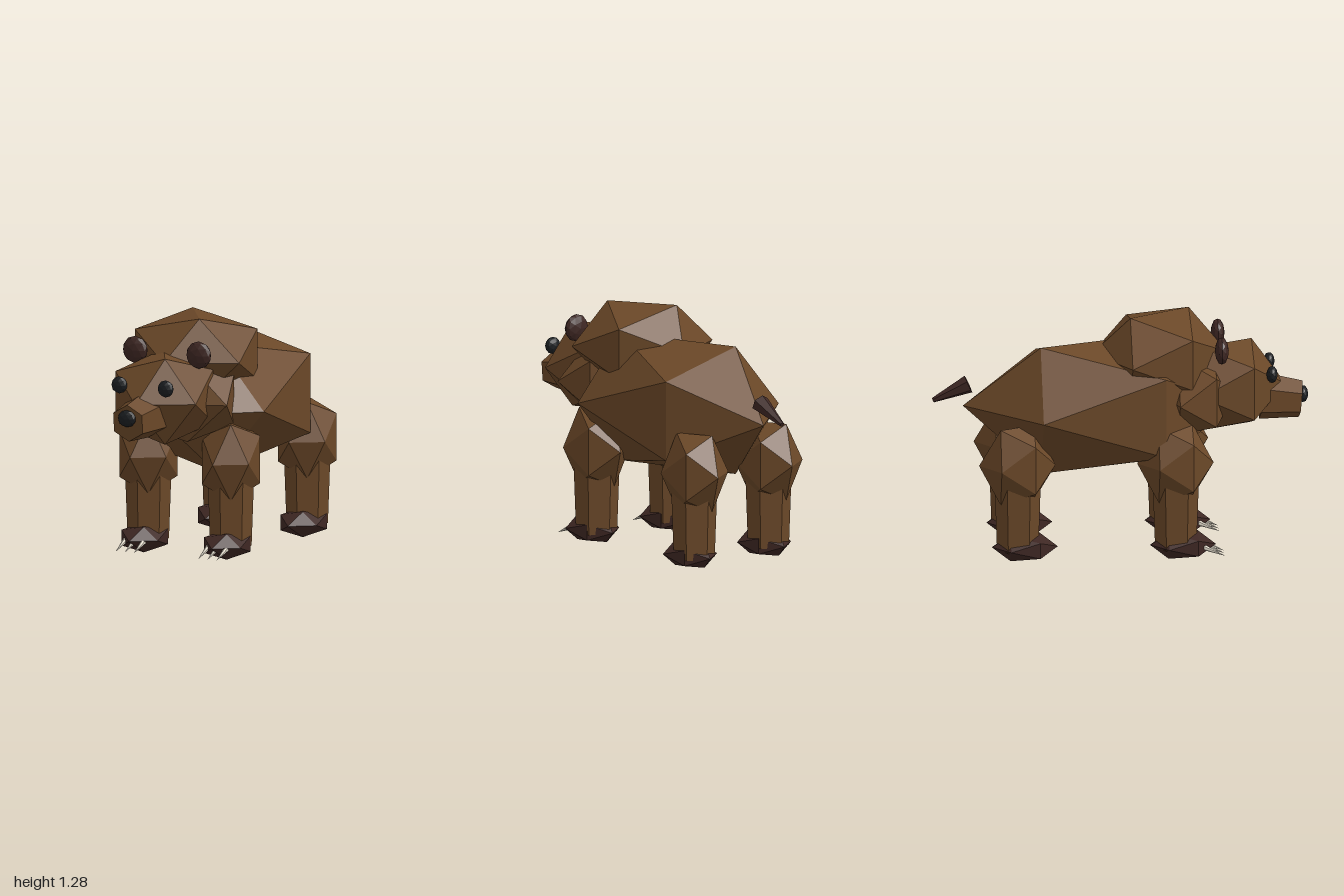
import * as THREE from 'three';

const mat = (name, color) => {
  const m = new THREE.MeshStandardMaterial({ color, flatShading: true });
  m.name = name;
  return m;
};

export function createModel() {
  const fur = mat('brown fur', 0x6b4828);
  const dark = mat('dark brown', 0x3e2723);
  const black = mat('black', 0x1b1e21);
  const ivory = mat('ivory', 0xe0d8c8);
  const bear = new THREE.Group();
  bear.name = 'bear';

  // Faceted ball with a corner pointing to +z and a five-sided ring starting at +x
  const ball = (name, material, pos, size, detail = 0) => {
    const g = new THREE.IcosahedronGeometry(1, detail);
    g.rotateX(Math.atan(2 / (1 + Math.sqrt(5)))).rotateZ(Math.PI / 2);
    g.scale(...size);
    const mesh = new THREE.Mesh(g, material);
    mesh.name = name;
    mesh.position.set(...pos);
    bear.add(mesh);
  };

  // Tapered prism running between two points
  const taper = (name, material, from, to, r0, r1, sides) => {
    const a = new THREE.Vector3(...from), b = new THREE.Vector3(...to);
    const dir = b.clone().sub(a);
    const mesh = new THREE.Mesh(new THREE.CylinderGeometry(r1, r0, dir.length(), sides), material);
    mesh.name = name;
    mesh.position.copy(a).add(b).multiplyScalar(0.5);
    mesh.quaternion.setFromUnitVectors(new THREE.Vector3(0, 1, 0), dir.normalize());
    bear.add(mesh);
  };

  // Trunk
  ball('body', fur, [0, 0.785, -0.1], [0.47, 0.406, 0.735]);
  ball('shoulderHump', fur, [0, 1.06, 0.21], [0.39, 0.258, 0.36]);
  ball('neck', fur, [0, 0.85, 0.4], [0.385, 0.25, 0.22]);
  taper('tail', dark, [0, 0.903, -0.805], [0, 0.817, -0.994], 0.05, 0.013, 6);

  // Head
  ball('head', fur, [0, 0.88, 0.56], [0.3, 0.27, 0.32]);
  taper('muzzle', fur, [0, 0.815, 0.75], [0, 0.795, 0.96], 0.128, 0.1, 6);
  ball('nose', black, [0, 0.822, 0.972], [0.053, 0.046, 0.028], 1);

  for (const side of [-1, 1]) {
    const label = side > 0 ? 'left' : 'right';
    ball(label + 'Ear', dark, [side * 0.192, 1.115, 0.53], [0.074, 0.074, 0.037], 1);
    ball(label + 'Eye', black, [side * 0.14, 0.968, 0.8], [0.046, 0.046, 0.03], 1);

    // Legs and paws
    for (const [end, z, footZ] of [['Front', 0.28, 0.32], ['Back', -0.56, -0.52]]) {
      const x = side * 0.25;
      ball(label + end + 'Thigh', fur, [x, 0.52, z], [0.175, 0.242, 0.203]);
      taper(label + end + 'Shin', fur, [x, 0.06, z + 0.002], [x, 0.48, z + 0.002], 0.11, 0.125, 6);
      ball(label + end + 'Paw', dark, [x, 0.072, footZ], [0.135, 0.08, 0.175]);
      if (end === 'Front') {
        for (const i of [-1, 0, 1]) {
          taper(label + 'Claw', ivory, [x + i * 0.055, 0.07, 0.425], [x + i * 0.055, 0.02, 0.542], 0.016, 0, 6);
        }
      }
    }
  }
  return bear;
}
